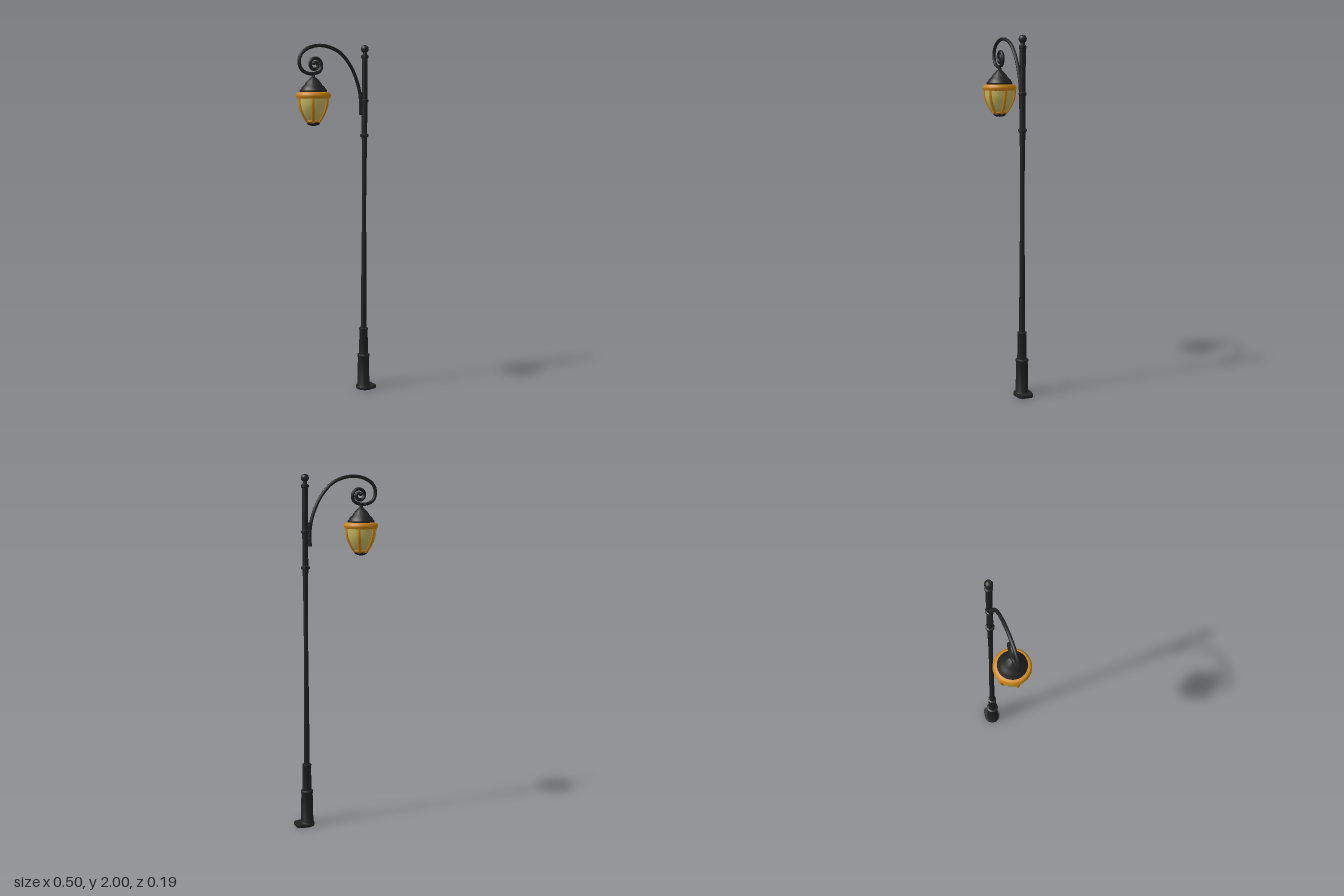
import * as THREE from 'three';
import { toCreasedNormals } from 'three/addons/utils/BufferGeometryUtils.js';

const mat = (name, color) => {
  const m = new THREE.MeshStandardMaterial({ color, side: THREE.DoubleSide });
  m.name = name;
  return m;
};
const v2 = (list) => list.map(([r, y]) => new THREE.Vector2(r, y));

export function createModel() {
  const iron = mat('black iron', 0x222222);
  const amber = mat('amber metal', 0xcf8612);
  const glass = mat('pale yellow glass', 0xc6b964);

  const model = new THREE.Group();
  model.name = 'streetLamp';
  const add = (parent, name, geometry, material) => {
    const mesh = new THREE.Mesh(geometry, material);
    mesh.name = name;
    parent.add(mesh);
    return mesh;
  };
  const turned = (profile, sides = 20) =>
    toCreasedNormals(new THREE.LatheGeometry(v2(profile), sides), 0.7);

  // Base plate: rounded under the post, squared off at the outer end
  const outline = new THREE.Shape();
  outline.moveTo(0.25, 0.03);
  outline.lineTo(0.238, 0.043);
  outline.lineTo(0.195, 0.05);
  outline.absarc(0.186, 0, 0.05, Math.PI / 2, Math.PI * 1.5, false);
  outline.lineTo(0.238, -0.04);
  outline.lineTo(0.25, -0.028);
  outline.closePath();
  const plate = new THREE.ExtrudeGeometry(outline, { depth: 0.015, bevelEnabled: false, curveSegments: 10 });
  plate.rotateX(-Math.PI / 2);
  add(model, 'basePlate', plate, iron);

  // Post with stepped foot, tapered shaft and collars
  const post = new THREE.Group();
  post.name = 'post';
  post.position.x = 0.177;
  model.add(post);
  add(post, 'foot', turned([
    [0.042, 0.012], [0.036, 0.024], [0.033, 0.19], [0.036, 0.195], [0.036, 0.207],
    [0.027, 0.212], [0.024, 0.355], [0.026, 0.358], [0.026, 0.366], [0.017, 0.37],
  ]), iron);
  add(post, 'shaft', turned([
    [0.017, 0.36], [0.015, 0.7], [0.012, 1.1], [0.0125, 1.25], [0.0155, 1.48],
    [0.0165, 1.7], [0.0165, 1.94], [0, 1.945],
  ], 16), iron);
  for (const [y, r] of [[1.495, 0.024], [1.69, 0.022], [1.935, 0.021]])
    add(post, 'collar', turned([
      [0.014, y - 0.012], [r, y - 0.006], [r, y + 0.006], [0.014, y + 0.012],
    ]), iron);
  add(post, 'finialNeck', new THREE.CylinderGeometry(0.01, 0.013, 0.03, 14).translate(0, 1.952, 0), iron);
  add(post, 'finialBall', new THREE.SphereGeometry(0.022, 18, 12).translate(0, 1.978, 0), iron);

  // Bracket fixing the arm to the post
  add(model, 'armBracket', new THREE.CylinderGeometry(0.01, 0.01, 0.13, 10).translate(0.15, 1.675, 0), iron);

  // Arched arm curling into a spiral scroll
  const path = [
    [0.152, 1.65], [0.147, 1.72], [0.129, 1.79], [0.085, 1.88], [0.02, 1.95],
    [-0.05, 1.981], [-0.12, 1.988], [-0.185, 1.972], [-0.227, 1.94], [-0.239, 1.9],
    [-0.228, 1.862], [-0.198, 1.841], [-0.155, 1.836],
  ];
  for (let i = 1; i <= 14; i++) {
    const a = -Math.PI / 2 + i * 0.72;
    const r = 0.047 - i * 0.0026;
    path.push([-0.143 + r * Math.cos(a), 1.884 + r * Math.sin(a)]);
  }
  const curve = new THREE.CatmullRomCurve3(path.map(([x, y]) => new THREE.Vector3(x, y, 0)));
  add(model, 'scrollArm', new THREE.TubeGeometry(curve, 150, 0.0095, 10), iron);
  const [tipX, tipY] = path[path.length - 1];
  add(model, 'scrollTip', new THREE.SphereGeometry(0.011, 12, 8).translate(tipX, tipY, 0), iron);

  // Lantern hung below the scroll
  const lantern = new THREE.Group();
  lantern.name = 'lantern';
  lantern.position.x = -0.153;
  model.add(lantern);
  add(lantern, 'hanger', new THREE.CylinderGeometry(0.009, 0.011, 0.04, 10).translate(0, 1.822, 0), iron);
  add(lantern, 'roof', turned([
    [0, 1.732], [0.074, 1.732], [0.075, 1.745], [0.066, 1.757], [0.061, 1.766], [0.05, 1.774],
    [0.04, 1.79], [0.025, 1.806], [0.012, 1.818], [0, 1.822],
  ], 24), iron);
  add(lantern, 'rimRing', turned([
    [0.078, 1.7], [0.09, 1.704], [0.096, 1.714], [0.096, 1.723], [0.088, 1.734],
    [0.068, 1.738], [0.068, 1.7], [0.078, 1.7],
  ], 28), amber);

  const bowl = [[0.032, 1.572], [0.047, 1.59], [0.063, 1.615], [0.077, 1.645], [0.084, 1.675], [0.085, 1.705]];
  add(lantern, 'glassBowl', new THREE.LatheGeometry(v2(bowl), 24), glass);

  // Six curved ribs over the glass
  const ribCurve = new THREE.CatmullRomCurve3(bowl.map(([r, y]) => new THREE.Vector3(0, y, r + 0.001)));
  const ribGeometry = new THREE.TubeGeometry(ribCurve, 14, 0.007, 8).scale(1.3, 1, 1);
  for (let i = 0; i < 6; i++)
    add(lantern, 'rib', ribGeometry, amber).rotation.y = Math.PI / 6 + i * Math.PI / 3;

  add(lantern, 'lowerRing', new THREE.TorusGeometry(0.036, 0.007, 8, 24).rotateX(Math.PI / 2).translate(0, 1.579, 0), amber);
  add(lantern, 'bottomCap', turned([
    [0, 1.553], [0.018, 1.555], [0.031, 1.56], [0.037, 1.568], [0.036, 1.576], [0, 1.58],
  ]), iron);

  return model;
}
